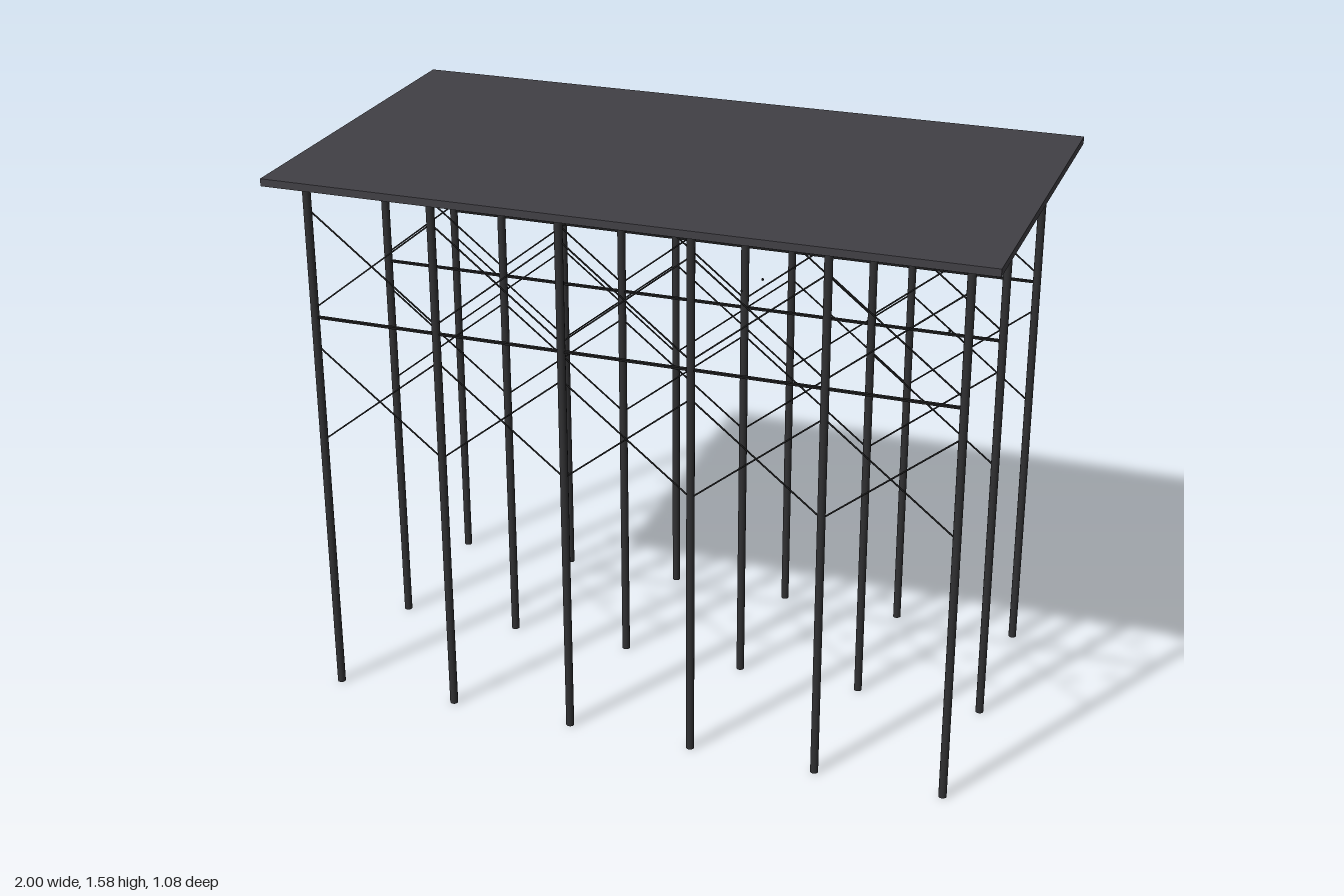
import * as THREE from 'three';

const mat = (name, color) => {
  const m = new THREE.MeshStandardMaterial({ color });
  m.name = name;
  return m;
};

export function createModel() {
  const deckGrey = mat('deckGrey', 0x414045);
  const steel = mat('darkSteel', 0x303032);
  const wire = mat('braceBlack', 0x1c1c1d);

  const model = new THREE.Group();
  model.name = 'elevatedPlatform';

  const add = (parent, name, geometry, material, x, y, z) => {
    const mesh = new THREE.Mesh(geometry, material);
    mesh.name = name;
    mesh.position.set(x, y, z);
    parent.add(mesh);
    return mesh;
  };

  // Deck slab with a slightly inset underlayer
  add(model, 'deck', new THREE.BoxGeometry(2, 0.021, 1.084), deckGrey, 0, 1.5715, 0);
  add(model, 'deckUnderlayer', new THREE.BoxGeometry(1.96, 0.006, 1.044), deckGrey, 0, 1.558, 0);

  const bay = 0.3645;
  const columns = [-2.5, -1.5, -0.5, 0.5, 1.5, 2.5].map((i) => i * bay);
  const rows = [-0.457, 0, 0.457];

  const postGeo = new THREE.CylinderGeometry(0.0115, 0.0115, 1.558, 12);
  const railGeo = new THREE.BoxGeometry(2 * columns[5], 0.006, 0.01);
  const rise = 0.29;
  const braceGeo = new THREE.CylinderGeometry(0.0024, 0.0024, Math.hypot(bay, rise), 6);
  const lean = Math.atan2(bay, rise);

  for (const z of rows) {
    const row = new THREE.Group();
    row.name = 'trestleRow';
    model.add(row);

    // Posts and the long rail between the two tiers of bracing
    for (const x of columns) add(row, 'post', postGeo, steel, x, 0.779, z);
    add(row, 'rail', railGeo, wire, 0, 1.165, z);

    // Crossed braces in every bay
    for (const y of [1.335, 0.935]) {
      for (let i = 0; i < 5; i++) {
        for (const side of [-1, 1]) {
          add(row, 'crossBrace', braceGeo, wire, columns[i] + bay / 2, y, z).rotation.z = side * lean;
        }
      }
    }
  }

  // Tiny specks hanging below the deck
  const specks = [
    [-0.82, 1.428, -0.335], [-0.8, 1.508, 0.314], [-0.74, 1.508, -0.1], [-0.76, 1.358, -0.122],
    [-0.765, 1.337, -0.327], [-0.61, 1.358, -0.394], [-0.59, 1.337, -0.331], [-0.46, 1.447, -0.042],
    [-0.2, 1.409, 0.134], [0.01, 1.382, 0.063], [0.25, 1.413, -0.088], [0.3, 1.379, 0.398],
    [0.315, 1.363, 0.264], [0.37, 1.444, -0.365], [0.37, 1.363, 0.025], [0.66, 1.426, -0.44],
    [0.76, 1.497, -0.348], [0.8, 1.447, -0.386], [0.86, 1.363, 0.444],
  ];
  const speckGeo = new THREE.BoxGeometry(0.005, 0.005, 0.005);
  for (const p of specks) add(model, 'speck', speckGeo, wire, ...p);

  return model;
}
